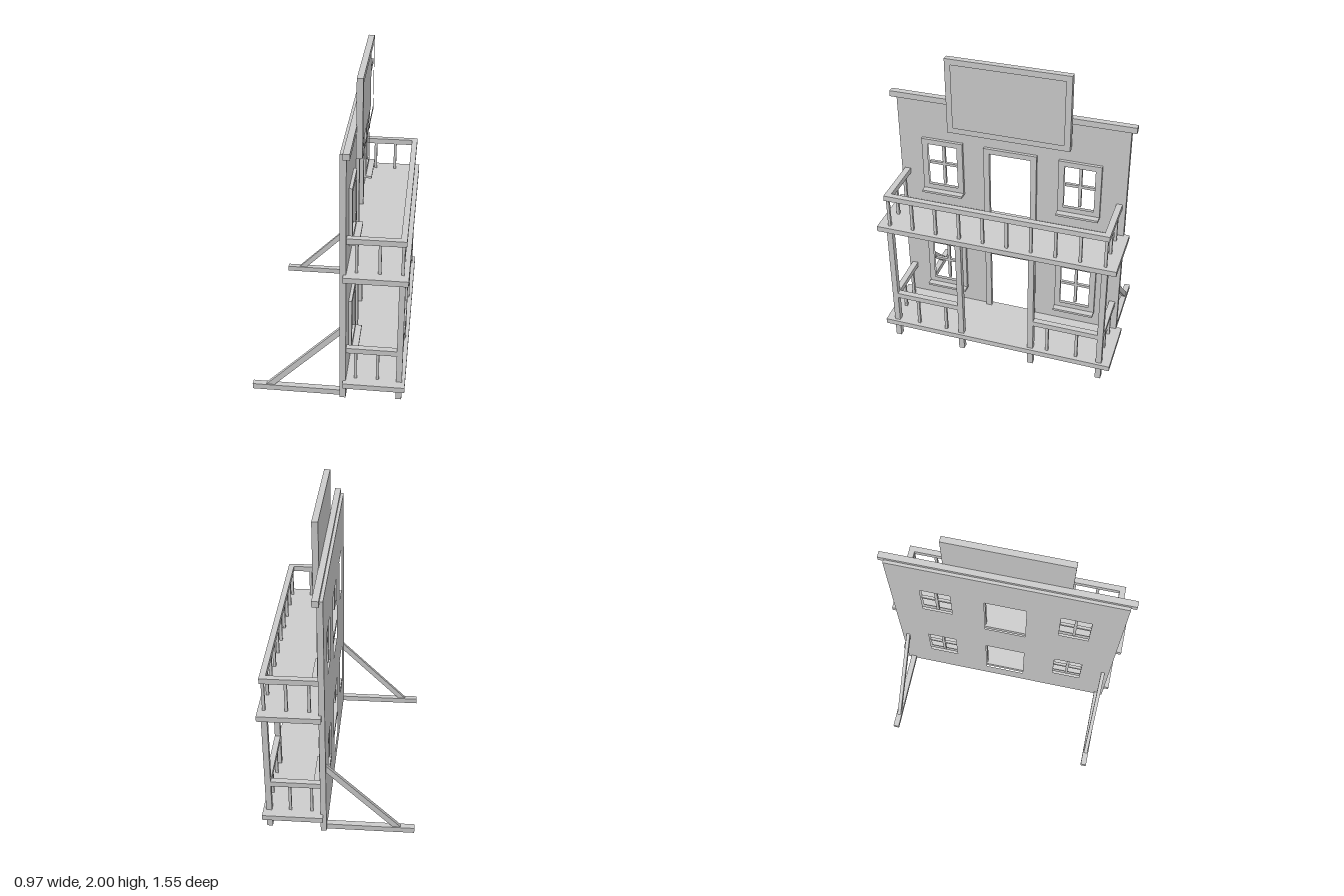
import * as THREE from 'three';

const material = new THREE.MeshStandardMaterial({ color: 0xcccccc, flatShading: true });

export function createModel() {
  const root = new THREE.Group();
  root.name = 'woodenStorefront';

  const group = (name, parent = root) => {
    const g = new THREE.Group();
    g.name = name;
    parent.add(g);
    return g;
  };

  // Box given by its minimum and maximum along each axis
  const box = (name, parent, [x0, x1], [y0, y1], [z0, z1]) => {
    const m = new THREE.Mesh(new THREE.BoxGeometry(x1 - x0, y1 - y0, z1 - z0), material);
    m.position.set((x0 + x1) / 2, (y0 + y1) / 2, (z0 + z1) / 2);
    m.name = name;
    parent.add(m);
    return m;
  };

  const rectangle = (Type, z0, z1, y0, y1) => new Type([
    [z0, y0], [z1, y0], [z1, y1], [z0, y1],
  ].map(([z, y]) => new THREE.Vector2(-z, y)));

  // Upright panel facing +x with rectangular holes, each [z0, z1, y0, y1]
  const panel = (name, parent, x0, x1, outline, holes) => {
    const shape = rectangle(THREE.Shape, ...outline);
    shape.holes = holes.map((h) => rectangle(THREE.Path, ...h));
    const geometry = new THREE.ExtrudeGeometry(shape, { depth: x1 - x0, bevelEnabled: false });
    geometry.rotateY(Math.PI / 2).translate(x0, 0, 0);
    const m = new THREE.Mesh(geometry, material);
    m.name = name;
    parent.add(m);
  };

  const floors = [0.135, 0.915];
  const windowSides = [[0.35, 0.545], [-0.545, -0.35]];

  // Facade with door and window openings
  const holes = [];
  for (const f of floors) {
    holes.push([-0.135, 0.135, f, f + 0.452]);
    for (const [a, b] of windowSides) holes.push([a, b, f + 0.155, f + 0.452]);
  }
  panel('facadeWall', root, 0.075, 0.112, [-0.74, 0.74, 0, 1.69], holes);
  box('cornice', root, [0.095, 0.135], [1.672, 1.71], [-0.775, 0.775]);

  // Sign board with raised frame
  const sign = group('signBoard');
  box('signPanel', sign, [0.132, 0.152], [1.505, 1.995], [-0.385, 0.385]);
  panel('signFrame', sign, 0.132, 0.17, [-0.39, 0.39, 1.5, 2], [[-0.352, 0.352, 1.538, 1.962]]);

  for (const f of floors) {
    // Door casing: two jambs and a header
    const door = group('doorFrame');
    for (const s of [-1, 1]) {
      box('doorJamb', door, [0.105, 0.132], [f, f + 0.452], s > 0 ? [0.135, 0.172] : [-0.172, -0.135]);
    }
    box('doorHeader', door, [0.105, 0.132], [f + 0.452, f + 0.487], [-0.172, 0.172]);

    // Windows with casing, sill and crossed bars
    for (const [a, b] of windowSides) {
      const win = group('window');
      const mid = (a + b) / 2;
      panel('windowFrame', win, 0.105, 0.132, [a - 0.038, b + 0.038, f + 0.105, f + 0.487],
        [[a, b, f + 0.155, f + 0.452]]);
      box('windowSill', win, [0.11, 0.172], [f + 0.105, f + 0.12], [a - 0.038, b + 0.038]);
      box('verticalBar', win, [0.088, 0.106], [f + 0.155, f + 0.452], [mid - 0.009, mid + 0.009]);
      box('crossBar', win, [0.088, 0.106], [f + 0.295, f + 0.313], [a, b]);
    }
    box(f < 0.5 ? 'porchDeck' : 'balconyDeck', root, [0.095, 0.48], [f - 0.036, f], [-0.775, 0.775]);
  }

  // Posts carrying the porch and balcony
  for (const z of [-0.7, -0.24, 0.24, 0.7]) {
    box('post', root, [0.424, 0.461], [0, 0.885], [z - 0.0185, z + 0.0185]);
  }

  // Railings
  const baluster = (parent, x, z, f) =>
    box('baluster', parent, [x - 0.009, x + 0.009], [f, f + 0.2], [z - 0.009, z + 0.009]);

  const balcony = group('balconyRailing');
  const fu = floors[1];
  box('frontRail', balcony, [0.424, 0.461], [fu + 0.197, fu + 0.233], [-0.719, 0.719]);
  for (let i = 0; i < 10; i++) baluster(balcony, 0.442, -0.7 + (i * 1.4) / 9, fu);

  const porch = group('porchRailing');
  const fl = floors[0];
  for (const s of [-1, 1]) {
    box('balconySideRail', balcony, [0.11, 0.43], [fu + 0.197, fu + 0.233], [s * 0.7 - 0.019, s * 0.7 + 0.019]);
    box('porchSideRail', porch, [0.11, 0.43], [fl + 0.197, fl + 0.233], [s * 0.7 - 0.019, s * 0.7 + 0.019]);
    box('porchFrontRail', porch, [0.424, 0.461], [fl + 0.197, fl + 0.233], [s * 0.47 - 0.215, s * 0.47 + 0.215]);
    for (const x of [0.17, 0.307]) {
      baluster(balcony, x, s * 0.7, fu);
      baluster(porch, x, s * 0.7, fl);
    }
    for (const z of [0.35, 0.545]) baluster(porch, 0.442, s * z, fl);
  }

  // Rear supports: ground beam and diagonal strut, cut flush at both ends
  for (const s of [-1, 1]) {
    const brace = group('rearBrace');
    box('groundBeam', brace, [-0.485, 0.078], [0, 0.038], [s * 0.7 - 0.019, s * 0.7 + 0.019]);
    const side = new THREE.Shape([[-0.4, 0.035], [-0.348, 0.035], [0.077, 0.46], [0.077, 0.512]]
      .map(([x, y]) => new THREE.Vector2(x, y)));
    const strut = new THREE.Mesh(
      new THREE.ExtrudeGeometry(side, { depth: 0.024, bevelEnabled: false }), material);
    strut.position.z = s * 0.7 - 0.012;
    strut.name = 'diagonalStrut';
    brace.add(strut);
  }

  return root;
}
